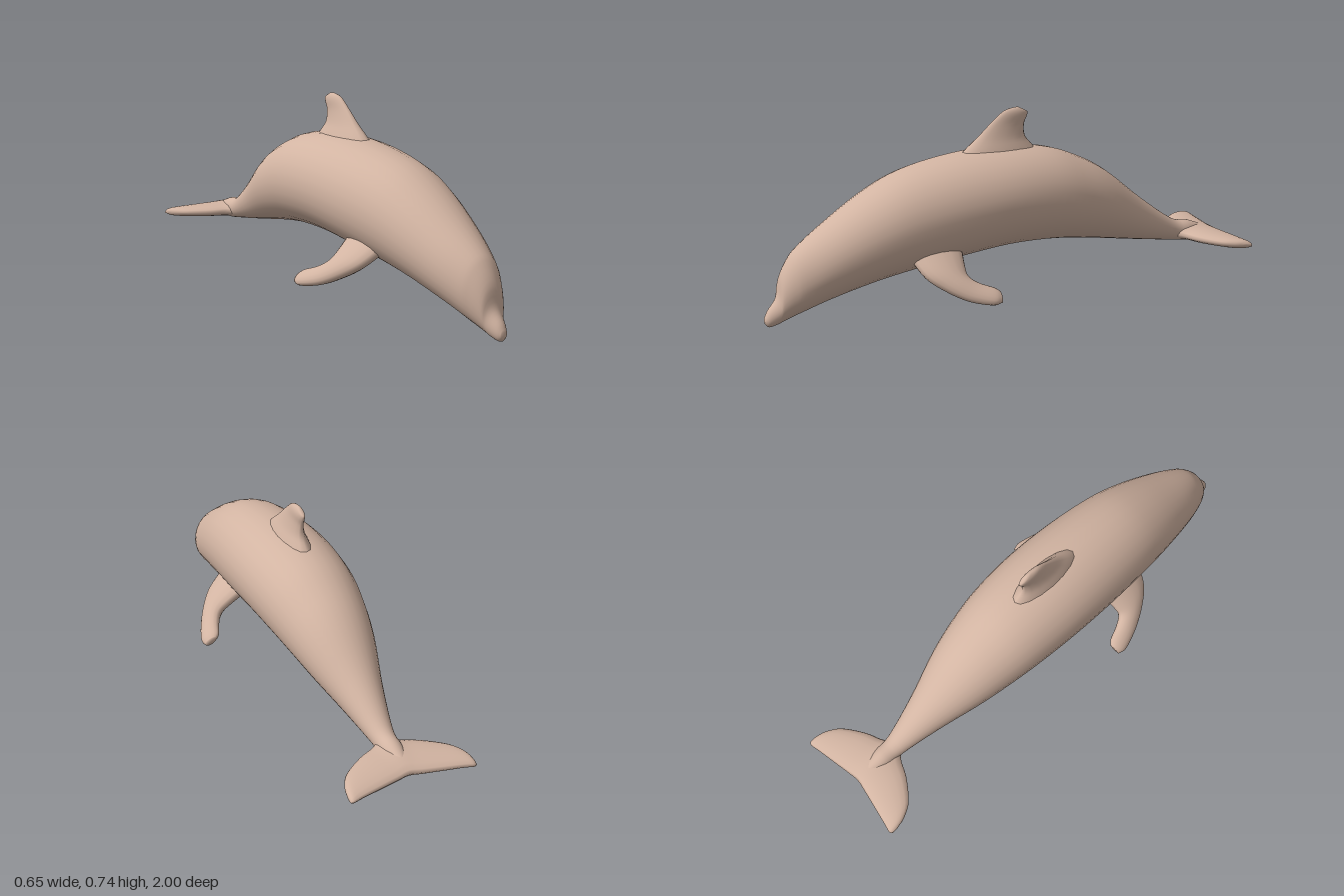
import * as THREE from 'three';

const skin = new THREE.MeshStandardMaterial({ color: 0xd2b4a2 });

// Lofts oval rings through stations; each has two opposite edge points and a half-thickness vector.
function loft(name, stations, steps, sides) {
  const curves = [0, 1, 2].map((i) => new THREE.CatmullRomCurve3(
    stations.map((s) => new THREE.Vector3(...s[i])), false, 'catmullrom', 0.5));
  const pos = [], index = [];
  for (let i = 0; i <= steps; i++) {
    const [a, b, n] = curves.map((c) => c.getPoint(i / steps));
    const mid = a.clone().add(b).multiplyScalar(0.5);
    const half = b.clone().sub(mid);
    for (let j = 0; j < sides; j++) {
      const t = (j / sides) * Math.PI * 2;
      const p = mid.clone().addScaledVector(half, Math.cos(t)).addScaledVector(n, Math.sin(t));
      pos.push(p.x, p.y, p.z);
      const k = (j + 1) % sides, r = i * sides;
      if (i < steps) index.push(r + j, r + k, r + sides + j, r + k, r + sides + k, r + sides + j);
    }
  }
  // End caps
  for (const [t, r, flip] of [[0, 0, false], [1, steps * sides, true]]) {
    const c = curves[0].getPoint(t).add(curves[1].getPoint(t)).multiplyScalar(0.5);
    const v = pos.length / 3;
    pos.push(c.x, c.y, c.z);
    for (let j = 0; j < sides; j++) {
      const k = (j + 1) % sides;
      index.push(v, r + (flip ? j : k), r + (flip ? k : j));
    }
  }
  // Turn all faces outward, judged by the enclosed volume
  const P = (i) => new THREE.Vector3().fromArray(pos, i * 3);
  let volume = 0;
  for (let i = 0; i < index.length; i += 3) {
    volume += P(index[i]).dot(P(index[i + 1]).cross(P(index[i + 2])));
  }
  if (volume < 0) index.reverse();
  const geo = new THREE.BufferGeometry();
  geo.setAttribute('position', new THREE.Float32BufferAttribute(pos, 3));
  geo.setIndex(index);
  geo.computeVertexNormals();
  const mesh = new THREE.Mesh(geo, skin);
  mesh.name = name;
  return mesh;
}

export function createModel() {
  const model = new THREE.Group();
  model.name = 'dolphin';

  // Body from beak to tail stock: z, belly y, back y, half width
  const body = [
    [1.0, 0.015, 0.04, 0.012], [0.985, 0.002, 0.068, 0.024], [0.95, 0.01, 0.115, 0.04],
    [0.935, 0.016, 0.19, 0.053], [0.9, 0.03, 0.255, 0.075], [0.86, 0.045, 0.297, 0.095],
    [0.76, 0.08, 0.368, 0.128], [0.6, 0.122, 0.47, 0.163], [0.45, 0.15, 0.538, 0.185],
    [0.25, 0.178, 0.578, 0.2], [0.04, 0.2, 0.59, 0.203], [-0.15, 0.197, 0.572, 0.19],
    [-0.29, 0.182, 0.523, 0.168], [-0.42, 0.16, 0.45, 0.138], [-0.59, 0.13, 0.312, 0.085],
    [-0.75, 0.104, 0.198, 0.045], [-0.83, 0.094, 0.18, 0.04], [-0.91, 0.098, 0.15, 0.025],
  ];
  model.add(loft('body', body.map(([z, y0, y1, w]) => [[0, y0, z], [0, y1, z], [w, 0, 0]]), 68, 28));

  // Back fin: leading edge z, y, trailing edge z, y, half thickness
  const fin = [
    [0.25, 0.53, -0.16, 0.52, 0.075], [0.19, 0.59, -0.1, 0.585, 0.05],
    [0.135, 0.635, -0.068, 0.625, 0.032], [0.08, 0.685, -0.064, 0.67, 0.02],
    [0.025, 0.728, -0.076, 0.7, 0.017], [-0.02, 0.74, -0.08, 0.716, 0.011], [-0.04, 0.74, -0.07, 0.725, 0.004],
  ];
  model.add(loft('backFin', fin.map(([z0, y0, z1, y1, t]) => [[0, y0, z0], [0, y1, z1], [t, 0, 0]]), 24, 16));

  // Tail flukes, tip to tip: x, front z, back z, y, half thickness
  const fluke = [
    [0, -0.72, -0.955, 0.135, 0.032], [0.05, -0.772, -0.962, 0.132, 0.029],
    [0.12, -0.805, -0.975, 0.13, 0.026], [0.2, -0.862, -0.99, 0.128, 0.021],
    [0.235, -0.915, -0.997, 0.125, 0.016], [0.248, -0.96, -0.992, 0.122, 0.006],
  ];
  const span = [...fluke.slice(1).reverse().map(([x, ...r]) => [-x, ...r]), ...fluke];
  model.add(loft('tailFlukes', span.map(([x, z0, z1, y, t]) =>
    [[x, y, z0], [x, y - 0.008, z1], [0, t, 0]]), 40, 16));

  // Flippers: leading edge point, trailing edge point, half thickness
  const flipper = [
    [[0.1, 0.24, 0.47], [0.1, 0.25, 0.25], 0.045],
    [[0.185, 0.175, 0.435], [0.18, 0.185, 0.268], 0.038],
    [[0.24, 0.13, 0.375], [0.215, 0.155, 0.268], 0.033],
    [[0.285, 0.092, 0.3], [0.238, 0.133, 0.235], 0.028],
    [[0.318, 0.073, 0.215], [0.258, 0.115, 0.185], 0.022],
    [[0.315, 0.075, 0.175], [0.275, 0.105, 0.168], 0.012],
  ];
  for (const [name, s] of [['leftFlipper', 1], ['rightFlipper', -1]]) {
    model.add(loft(name, flipper.map(([[ax, ay, az], [bx, by, bz], t]) =>
      [[s * ax, ay, az], [s * bx, by, bz], [s * t * 0.65, t * 0.76, 0]]), 25, 16));
  }
  return model;
}
